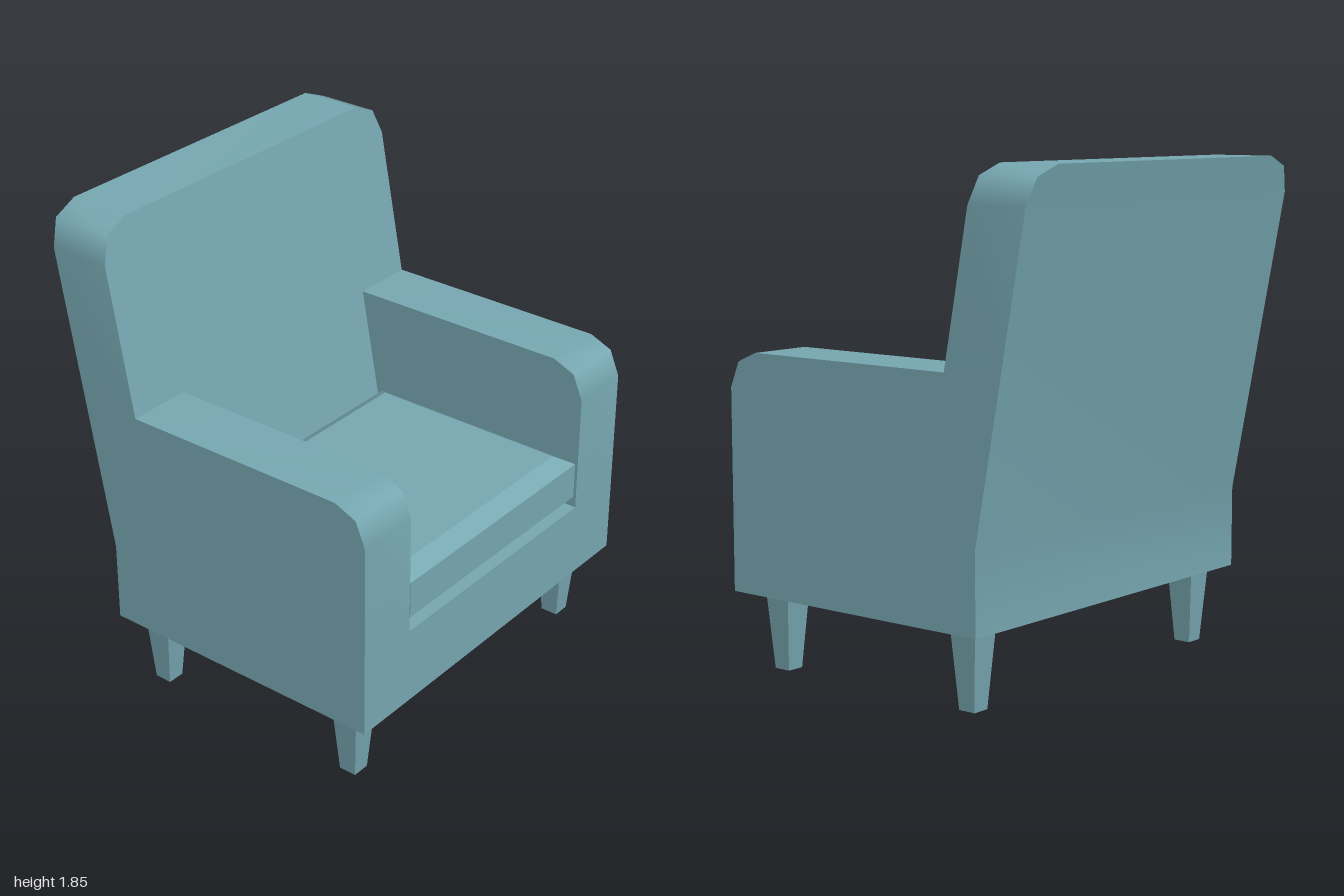
import * as THREE from 'three';

const fabric = new THREE.MeshStandardMaterial({ color: 0x77a8b2, side: THREE.DoubleSide });
fabric.name = 'teal fabric';

// Main dimensions of the chair in its own frame (front faces +z)
const W = 0.76, INNER = 0.513, BASE = 0.287, SEAT = 0.58, ARM = 1.167, FRONT = 0.677;
const LEAN = 0.188;
const rearZ = y => -0.468 - LEAN * Math.max(0, y - 0.59);
const restZ = y => rearZ(y) + 0.242;

function mesh(name, geometry) {
  const m = new THREE.Mesh(geometry, fabric);
  m.name = name;
  return m;
}

// Smooth ribbon between two polylines of equal length
function ribbon(name, a, b) {
  const pos = [], index = [];
  a.forEach((p, i) => {
    pos.push(...p, ...b[i]);
    const k = 2 * i;
    if (i < a.length - 1) index.push(k, k + 1, k + 2, k + 1, k + 3, k + 2);
  });
  const g = new THREE.BufferGeometry();
  g.setAttribute('position', new THREE.Float32BufferAttribute(pos, 3));
  g.setIndex(index);
  g.computeVertexNormals();
  return mesh(name, g);
}

// Ribbon across x following a profile of [z, y] between x0 and x1
const across = (name, profile, x0, x1) => ribbon(name,
  profile.map(([z, y]) => [x0, y, z]), profile.map(([z, y]) => [x1, y, z]));

// Flat upright panel with a [z, y] outline standing at x
function sidePanel(name, outline, x, outward) {
  const shape = new THREE.Shape(outline.map(([z, y]) => new THREE.Vector2(-z, y)));
  const g = new THREE.ShapeGeometry(shape);
  g.rotateY(Math.PI / 2);           // faces +x
  if (outward < 0) {
    g.scale(-1, 1, 1);
    const idx = g.index.array;
    for (let i = 0; i < idx.length; i += 3) [idx[i], idx[i + 1]] = [idx[i + 1], idx[i]];
    g.computeVertexNormals();
  }
  g.translate(x, 0, 0);
  return mesh(name, g);
}

export function createModel() {
  const model = new THREE.Group();
  const chair = new THREE.Group();
  chair.name = 'armchair';
  chair.rotation.y = Math.PI / 3;
  model.add(chair);

  // Arms: rounded front and top, inner and outer panels
  const armTop = [[FRONT, 1.035], [0.637, 1.13], [0.55, ARM], [restZ(ARM), ARM]];
  const armProfile = [[FRONT, SEAT], ...armTop];
  const outer = [[FRONT, BASE], ...armTop, [rearZ(ARM), ARM], [rearZ(0.59), 0.59], [rearZ(0), BASE]];
  const inner = [...armProfile, [restZ(SEAT), SEAT]];
  for (const [s, side] of [[1, 'left'], [-1, 'right']]) {
    chair.add(across(side + 'ArmTop', armProfile, s > 0 ? INNER : -W, s > 0 ? W : -INNER));
    chair.add(sidePanel(side + 'ArmOuter', outer, s * W, s));
    chair.add(sidePanel(side + 'ArmInner', inner, s * INNER, -s));
  }

  // Front apron and seat deck (the base is open underneath)
  chair.add(across('frontApron', [[FRONT, BASE], [FRONT, SEAT]], -W, W));
  chair.add(across('seatDeck', [[FRONT, SEAT], [restZ(SEAT), SEAT]], -INNER, INNER));

  // Leaning backrest with clipped top corners: rows of [half width, y]
  const rows = [[W, ARM], [W, 1.72], [0.723, 1.815], [0.625, 1.854]];
  const edge = (list, s, zAt) => list.map(([x, y]) => [s * x, y, zAt(y)]);
  chair.add(ribbon('backrestFront', edge(rows, -1, restZ), edge(rows, 1, restZ)));
  chair.add(across('backrestLower', [[restZ(SEAT), SEAT], [restZ(ARM), ARM]], -INNER, INNER));
  const rearRows = [[W, BASE], [W, 0.59], ...rows.slice(1)].reverse();
  chair.add(ribbon('backrestRear', edge(rearRows, -1, rearZ), edge(rearRows, 1, rearZ)));
  const rim = zAt => [...edge(rows, -1, zAt), ...edge(rows, 1, zAt).reverse()];
  chair.add(ribbon('backrestRim', rim(rearZ), rim(restZ)));

  // Loose cushion with bevelled top and bottom edges
  const levels = [[0.595, 0.037], [0.63, 0], [0.77, 0], [0.81, 0.062]];
  const box = new THREE.BoxGeometry(2, 3, 2, 1, 3, 1);
  const p = box.attributes.position;
  for (let i = 0; i < p.count; i++) {
    const [y, inset] = levels[Math.round(p.getY(i) + 1.5)];
    p.setXYZ(i, p.getX(i) * (0.503 - inset), y, 0.221 + p.getZ(i) * (0.451 - inset));
  }
  const cushion = box.toNonIndexed();
  cushion.computeVertexNormals();
  chair.add(mesh('seatCushion', cushion));

  // Tapered square legs
  const leg = new THREE.CylinderGeometry(0.078, 0.048, BASE, 4).rotateY(Math.PI / 4).toNonIndexed();
  leg.computeVertexNormals();
  for (const x of [-0.635, 0.635]) {
    for (const z of [0.531, -0.352]) {
      const m = mesh(z > 0 ? 'frontLeg' : 'backLeg', leg);
      m.position.set(x, BASE / 2, z);
      chair.add(m);
    }
  }
  return model;
}
